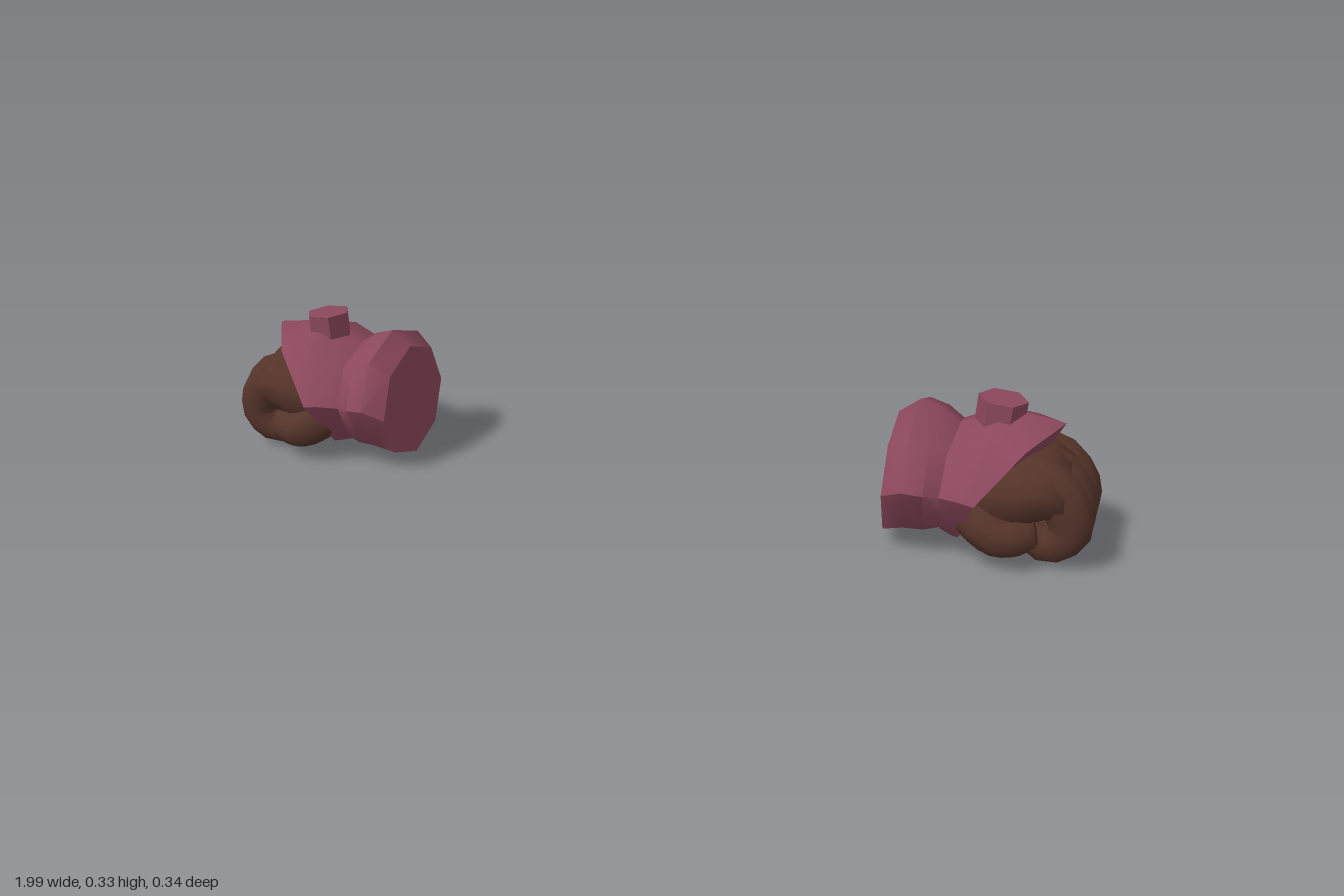
import * as THREE from 'three';
import { toCreasedNormals } from 'three/addons/utils/BufferGeometryUtils.js';

// Skin a list of equal-length point rings, cap both ends, mirror when side is -1
function loft(rings, side, crease) {
  const n = rings[0].length, pos = [], index = [];
  const tri = (a, b, c) => side > 0 ? index.push(a, b, c) : index.push(a, c, b);
  for (const ring of rings) for (const p of ring) pos.push(p[0] * side, p[1], p[2]);
  for (let k = 0; k < rings.length - 1; k++) {
    for (let i = 0; i < n; i++) {
      const a = k * n + i, b = k * n + (i + 1) % n;
      tri(a, b, b + n);
      tri(a, b + n, a + n);
    }
  }
  for (const end of [0, rings.length - 1]) {
    const c = pos.length / 3, o = end * n;
    const mid = [0, 1, 2].map(j => rings[end].reduce((s, p) => s + p[j], 0) / n);
    pos.push(mid[0] * side, mid[1], mid[2]);
    for (let i = 0; i < n; i++) {
      const a = o + i, b = o + (i + 1) % n;
      if (end === 0) tri(c, b, a); else tri(c, a, b);
    }
  }
  const g = new THREE.BufferGeometry();
  g.setAttribute('position', new THREE.Float32BufferAttribute(pos, 3));
  g.setIndex(index);
  return toCreasedNormals(g, crease);
}

// Oval ring across x
function oval(x, cy, ry, rz, n) {
  return Array.from({ length: n }, (_, i) => {
    const a = i / n * Math.PI * 2;
    return [x, cy + ry * Math.cos(a), rz * Math.sin(a)];
  });
}

// Eight-sided ring from five half-profile points [x, y, z], top to bottom
function octagon(half) {
  return Array.from({ length: 8 }, (_, i) => {
    const [x, y, z] = half[Math.min(i, 8 - i)];
    return [x, y, i > 4 ? -z : z];
  });
}

// Rings of a curled digit along a path of [x, y, z, radius]
function digit(path, width, n = 10) {
  const curve = new THREE.CatmullRomCurve3(path.map(p => new THREE.Vector3(p[0], p[1], p[2])));
  const steps = 12, rings = [];
  for (let k = 0; k <= steps; k++) {
    const t = k / steps, p = curve.getPoint(t), d = curve.getTangent(t);
    const f = t * (path.length - 1), j = Math.min(Math.floor(f), path.length - 2);
    const r = THREE.MathUtils.lerp(path[j][3], path[j + 1][3], f - j);
    const len = Math.hypot(d.x, d.y);
    rings.push(Array.from({ length: n }, (_, i) => {
      const a = i / n * Math.PI * 2, c = Math.cos(a) * r;
      return [p.x - d.y / len * c, p.y + d.x / len * c, p.z + Math.sin(a) * r * width];
    }));
  }
  return rings;
}

export function createModel() {
  const cloth = new THREE.MeshStandardMaterial({ color: 0x8c485d });
  cloth.name = 'maroon armour';
  const skin = new THREE.MeshStandardMaterial({ color: 0x55342a });
  skin.name = 'brown glove';
  const model = new THREE.Group();
  model.name = 'gauntlets';

  for (const side of [1, -1]) {
    const hand = new THREE.Group();
    hand.name = side > 0 ? 'leftGauntlet' : 'rightGauntlet';
    model.add(hand);
    const add = (name, geometry, material) => {
      const mesh = new THREE.Mesh(geometry, material);
      mesh.name = name;
      hand.add(mesh);
      return mesh;
    };

    // Flared wrist cuff
    add('cuff', loft([
      oval(0.573, 0.138, 0.133, 0.145, 8),
      oval(0.617, 0.163, 0.142, 0.17, 8),
      oval(0.66, 0.158, 0.135, 0.162, 8),
      oval(0.705, 0.15, 0.112, 0.137, 8),
    ], side, 0.85), cloth);

    // Back-of-hand guard, reaching forward to a point on top
    add('guard', loft([
      octagon([[0.69, 0.258, 0], [0.69, 0.232, 0.1], [0.685, 0.152, 0.142], [0.69, 0.065, 0.1], [0.69, 0.035, 0]]),
      octagon([[0.79, 0.31, 0], [0.775, 0.27, 0.107], [0.735, 0.16, 0.168], [0.715, 0.055, 0.105], [0.715, 0.022, 0]]),
      octagon([[0.914, 0.292, 0], [0.85, 0.262, 0.11], [0.765, 0.155, 0.17], [0.73, 0.052, 0.105], [0.728, 0.018, 0]]),
      octagon([[0.89, 0.245, 0], [0.83, 0.222, 0.09], [0.735, 0.148, 0.137], [0.72, 0.075, 0.085], [0.718, 0.05, 0]]),
    ], side, 0.8), cloth);

    // Hexagonal stud on the guard
    const hex = new THREE.CylinderGeometry(0.051, 0.051, 0.055, 6).rotateY(Math.PI / 6);
    const stud = add('stud', toCreasedNormals(hex, 0.5), cloth);
    stud.position.set(0.783 * side, 0.303, 0);
    stud.rotation.z = -0.07 * side;

    // Palm and knuckles
    add('palm', loft([
      oval(0.70, 0.14, 0.085, 0.105, 14),
      oval(0.77, 0.142, 0.098, 0.128, 14),
      oval(0.84, 0.153, 0.092, 0.138, 14),
      oval(0.895, 0.165, 0.075, 0.13, 14),
      oval(0.935, 0.155, 0.055, 0.112, 14),
    ], side, 1.2), skin);

    // Three curled fingers: z position and lift
    [[0.066, 0.004], [-0.013, 0], [-0.09, 0.011]].forEach(([z, lift], i) => {
      add('finger' + (i + 1), loft(digit([
        [0.81, 0.18, z * 0.85, 0.05],
        [0.885, 0.186, z * 0.92, 0.054],
        [0.938, 0.135, z, 0.05],
        [0.945, 0.08, z, 0.046],
        [0.905, 0.044 + lift, z, 0.04],
        [0.855, 0.07 + lift, z, 0.03],
      ], 0.88), side, 1.2), skin);
    });

    // Thumb folded along the front
    add('thumb', loft(digit([
      [0.725, 0.125, 0.085, 0.045],
      [0.765, 0.098, 0.11, 0.045],
      [0.81, 0.074, 0.12, 0.043],
      [0.855, 0.076, 0.113, 0.038],
      [0.885, 0.085, 0.1, 0.024],
    ], 0.85), side, 1.2), skin);
  }
  return model;
}
